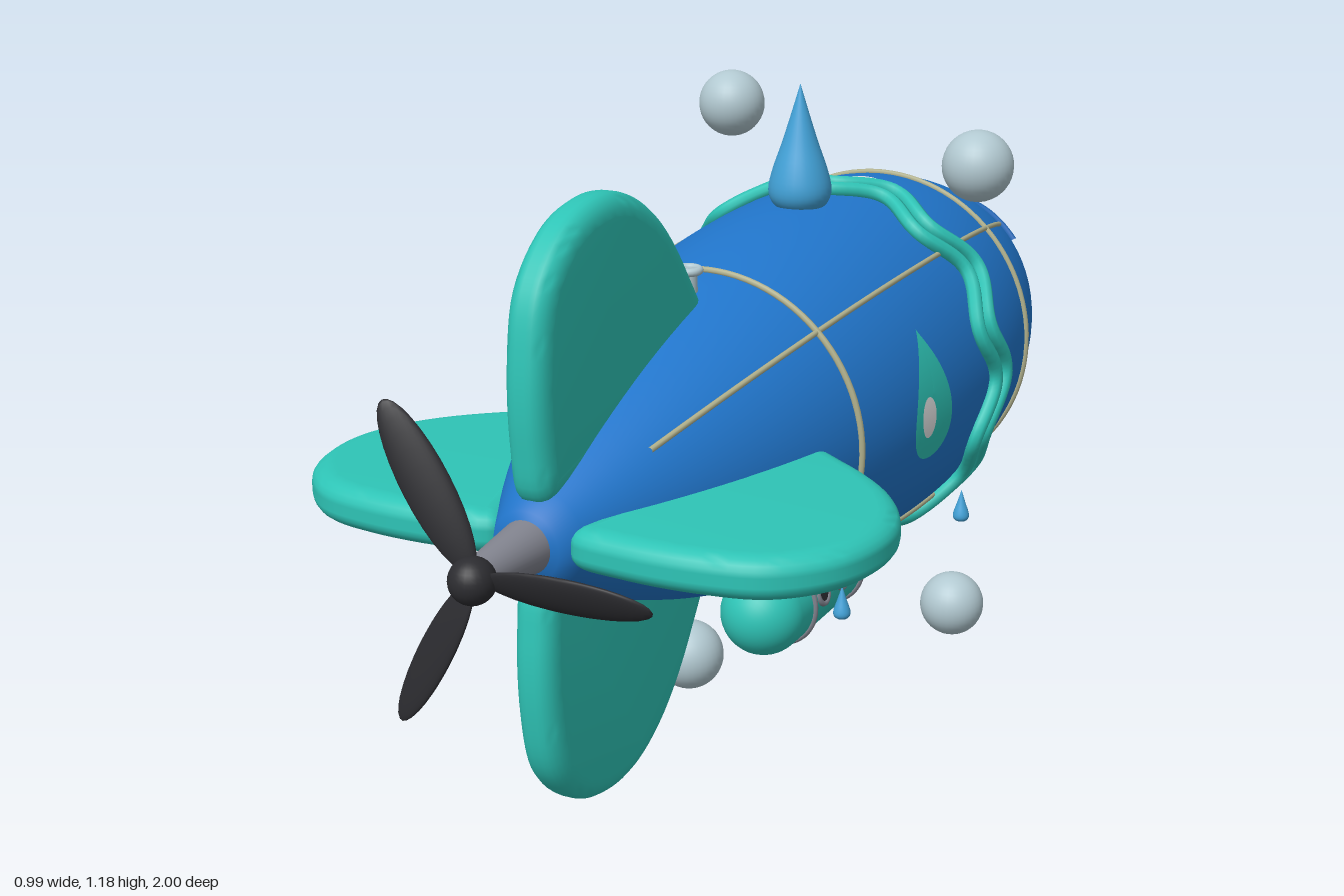
import * as THREE from 'three';
import { toCreasedNormals } from 'three/addons/utils/BufferGeometryUtils.js';

const mat = (name, color, side = THREE.FrontSide) => {
  const m = new THREE.MeshStandardMaterial({ color, side });
  m.name = name;
  return m;
};

export function createModel() {
  const blue = mat('hull blue', 0x2176cc);
  const navy = mat('brow blue', 0x1c62b0);
  const teal = mat('teal', 0x2ec4b6);
  const water = mat('water blue', 0x42a2d8);
  const metal = mat('grey metal', 0x82848f);
  const dark = mat('near black', 0x2c2c30);
  const bubbleMat = mat('bubble grey', 0xb2c9d1);
  const white = mat('soft white', 0xe2e2e2);
  const seamMat = mat('seam sage', 0xb0b08c);

  const model = new THREE.Group();
  model.name = 'airship';
  const ship = new THREE.Group(); // origin on the hull axis
  ship.name = 'ship';
  ship.position.y = 0.6;
  model.add(ship);

  const add = (name, geo, material, pos = [0, 0, 0], parent = ship) => {
    const mesh = new THREE.Mesh(geo, material);
    mesh.name = name;
    mesh.position.set(...pos);
    parent.add(mesh);
    return mesh;
  };

  // Hull profile: elliptical nose, tapering tail
  const radius = (z) => z < -0.3
    ? 0.33 * Math.sqrt(Math.max(0, 1 - ((z + 0.3) / 0.7) ** 2))
    : 0.33 * (1 - ((z + 0.3) / 1.215) ** 2.3);
  const slope = (z) => (radius(z + 0.002) - radius(z - 0.002)) / 0.004;
  const onHull = (a, z, lift) => {
    const d = slope(z), n = lift / Math.hypot(1, d), r = radius(z) + n;
    return new THREE.Vector3(r * Math.cos(a), r * Math.sin(a), z - n * d);
  };

  const profile = [];
  for (let i = 0; i <= 28; i++) {
    const z = -0.3 - 0.7 * Math.cos((i / 28) * Math.PI / 2);
    profile.push(new THREE.Vector2(i ? radius(z) : 0, z));
  }
  for (let i = 1; i <= 28; i++) {
    const z = -0.3 + 1.12 * i / 28;
    profile.push(new THREE.Vector2(radius(z), z));
  }
  profile.push(new THREE.Vector2(0, 0.825));
  add('hull', new THREE.LatheGeometry(profile, 72).rotateX(Math.PI / 2), blue);

  // Tube that follows the hull; path(t) returns [angle, z]
  const hullTube = (name, path, lift, r, closed, segments, material) => {
    const pts = [], n = segments / 2;
    for (let i = 0; i < n + (closed ? 0 : 1); i++) pts.push(onHull(...path(i / n), lift));
    const curve = new THREE.CatmullRomCurve3(pts, closed);
    add(name, new THREE.TubeGeometry(curve, segments, r, 8, closed), material);
  };

  // Thin painted plate that follows the hull; outline(t) returns [around, along]
  const hullPatch = (name, a, z, outline, lift, material) => {
    const R = 6, N = 40, pos = [], idx = [];
    const c = onHull(a, z, 0), d = slope(z);
    const t = new THREE.Vector3(-Math.sin(a), Math.cos(a), 0);
    const m = new THREE.Vector3(d * Math.cos(a), d * Math.sin(a), 1).normalize();
    for (let i = 0; i <= R; i++) for (let j = 0; j < N; j++) {
      const [u, v] = outline(j / N * Math.PI * 2);
      const p = c.clone().addScaledVector(t, u * i / R).addScaledVector(m, v * i / R);
      pos.push(...onHull(Math.atan2(p.y, p.x), p.z, lift).toArray());
      if (i === R) continue;
      const k = i * N + j, l = i * N + (j + 1) % N;
      idx.push(k, k + N, l + N);
      if (i) idx.push(k, l + N, l);
    }
    const g = new THREE.BufferGeometry();
    g.setAttribute('position', new THREE.Float32BufferAttribute(pos, 3));
    g.setIndex(idx);
    g.computeVertexNormals();
    add(name, g, material);
  };
  const ellipse = (ru, rv, rot = 0) => (t) => {
    const u = ru * Math.cos(t), v = rv * Math.sin(t), c = Math.cos(rot), s = Math.sin(rot);
    return [u * c - v * s, u * s + v * c];
  };

  // Seams and wavy belts
  for (const z of [-0.54, 0.22]) hullTube('hoopSeam', (t) => [t * Math.PI * 2, z], 0.002, 0.006, true, 96, seamMat);
  for (let k = 0; k < 4; k++)
    hullTube('lengthSeam', (t) => [Math.PI / 4 + k * Math.PI / 2, -0.7 + 1.33 * t], 0.002, 0.005, false, 48, seamMat);
  for (const z of [-0.262, -0.318])
    hullTube('wavyBelt', (t) => [t * Math.PI * 2, z + 0.028 * Math.cos(10 * (t * Math.PI * 2 - Math.PI / 2))],
      0.009, 0.014, true, 240, teal);

  // Face and side emblems, mirrored
  for (const s of [1, -1]) {
    const side = (a) => (s > 0 ? a : Math.PI - a);
    const eye = side(Math.atan2(0.14, 0.106));
    hullPatch('eyeWhite', eye, -0.895, ellipse(0.07, 0.083), 0.004, white);
    hullPatch('pupil', side(0.95), -0.897, ellipse(0.04, 0.05), 0.007, dark);
    hullPatch('eyeGlint', side(0.93), -0.9, ellipse(0.013, 0.016), 0.01, white);
    hullTube('brow', (t) => [side(0.62 + 0.82 * t), -0.775 - 0.08 * t], 0.003, 0.008, false, 24, navy);
    hullPatch('sideDrop', side(0.14), -0.015, (t) => [
      s * 0.122 * Math.cos(t), s * 0.1 * Math.sin(t) * Math.abs(Math.sin(t / 2)) ** 1.5], 0.006, teal);
    hullPatch('sideDropGlint', side(0.025), 0.01, ellipse(0.036, 0.025), 0.009, white);
  }
  // Highlights on the back
  hullPatch('longGlint', Math.acos(-0.31), -0.342, ellipse(0.135, 0.032, -0.2), 0.004, white);
  hullPatch('dotGlint', Math.acos(0.09), -0.39, ellipse(0.03, 0.024), 0.004, white);

  // Four rounded fins
  const outline = [[0.28, 0.2], [0.34, 0.32], [0.44, 0.43], [0.54, 0.482], [0.63, 0.488], [0.72, 0.46],
    [0.795, 0.385], [0.82, 0.28], [0.82, 0.15], [0.8, 0.065], [0.72, 0.07], [0.5, 0.13]];
  const finCurve = new THREE.CatmullRomCurve3(outline.map(([z, r]) => new THREE.Vector3(z, r, 0)), true);
  const finShape = new THREE.Shape(finCurve.getPoints(64).slice(0, -1).map((p) => new THREE.Vector2(p.x, p.y)));
  const finGeo = toCreasedNormals(new THREE.ExtrudeGeometry(finShape, {
    depth: 0.016, bevelThickness: 0.027, bevelSize: 0.035, bevelOffset: -0.035, bevelSegments: 5,
  }).translate(0, 0, -0.008).rotateY(-Math.PI / 2), 0.8);
  for (let k = 0; k < 4; k++) add('fin', finGeo, teal).rotation.z = k * Math.PI / 2;

  // Tail shaft and propeller
  add('tailShaft', new THREE.CylinderGeometry(0.028, 0.045, 0.15, 32).rotateX(Math.PI / 2), metal, [0, 0, 0.875]);
  add('propellerHub', new THREE.SphereGeometry(0.036, 24, 16), dark, [0, 0, 0.964]);
  const bladeGeo = new THREE.SphereGeometry(1, 28, 16).scale(0.138, 0.036, 0.01)
    .rotateX(0.45).translate(0.149, 0, 0.957);
  for (let k = 0; k < 3; k++) add('propellerBlade', bladeGeo, dark).rotation.z = k * Math.PI * 2 / 3;

  // Valve on top, ahead of the upper fin
  add('valve', new THREE.CylinderGeometry(0.017, 0.017, 0.05, 20), bubbleMat, [0, 0.278, 0.295]);
  add('valveRim', new THREE.TorusGeometry(0.02, 0.007, 10, 24).rotateX(Math.PI / 2), bubbleMat, [0, 0.302, 0.295]);

  // Gondola with hoops and portholes
  const gondola = new THREE.Group();
  gondola.name = 'gondola';
  gondola.position.set(0, 0.18, -0.138);
  model.add(gondola);
  add('gondolaBody', new THREE.CapsuleGeometry(0.081, 0.282, 12, 36).rotateX(Math.PI / 2), teal, [0, 0, 0], gondola);
  for (const z of [0.088, -0.137]) add('gondolaHoop', new THREE.TorusGeometry(0.082, 0.006, 8, 48), metal, [0, 0, z], gondola);
  const rimGeo = new THREE.TorusGeometry(0.022, 0.006, 8, 24).rotateY(Math.PI / 2).translate(0.08, 0, 0);
  const glassGeo = new THREE.CylinderGeometry(0.021, 0.021, 0.01, 24).rotateZ(-Math.PI / 2).translate(0.078, 0, 0);
  for (const a of [0.22, Math.PI - 0.22]) for (const z of [0.045, -0.04, -0.12]) {
    add('portholeRim', rimGeo, metal, [0, 0, z], gondola).rotation.z = a;
    add('portholeGlass', glassGeo, dark, [0, 0, z], gondola).rotation.z = a;
  }

  // Water drops
  const dropCurve = new THREE.SplineCurve([[0, 0], [0.14, 0.03], [0.22, 0.1], [0.243, 0.2], [0.21, 0.35],
    [0.14, 0.55], [0.07, 0.77], [0, 1]].map((p) => new THREE.Vector2(...p)));
  const dropPts = dropCurve.getPoints(24);
  dropPts.forEach((p) => { p.x = Math.max(0, p.x); });
  const dropGeo = new THREE.LatheGeometry(dropPts, 28);
  const drops = [[0, 0.908, -0.15, 0.237], [0, 0.2, -0.565, 0.062]];
  for (const s of [1, -1]) drops.push([s * 0.226, 0.269, 0.16, 0.063], [s * 0.251, 0.275, -0.365, 0.065]);
  for (const [x, y, z, h] of drops) add('waterDrop', dropGeo, water, [x, y, z], model).scale.setScalar(h);

  // Floating bubbles
  for (const [x, y, z, r] of [[-0.086, 1.12, -0.047, 0.058], [0.378, 1.047, -0.045, 0.061],
    [-0.462, 0.425, -0.165, 0.035], [-0.154, 0.067, 0.01, 0.066], [0.31, 0.19, -0.165, 0.059]])
    add('bubble', new THREE.SphereGeometry(r, 32, 20), bubbleMat, [x, y, z], model);

  return model;
}
